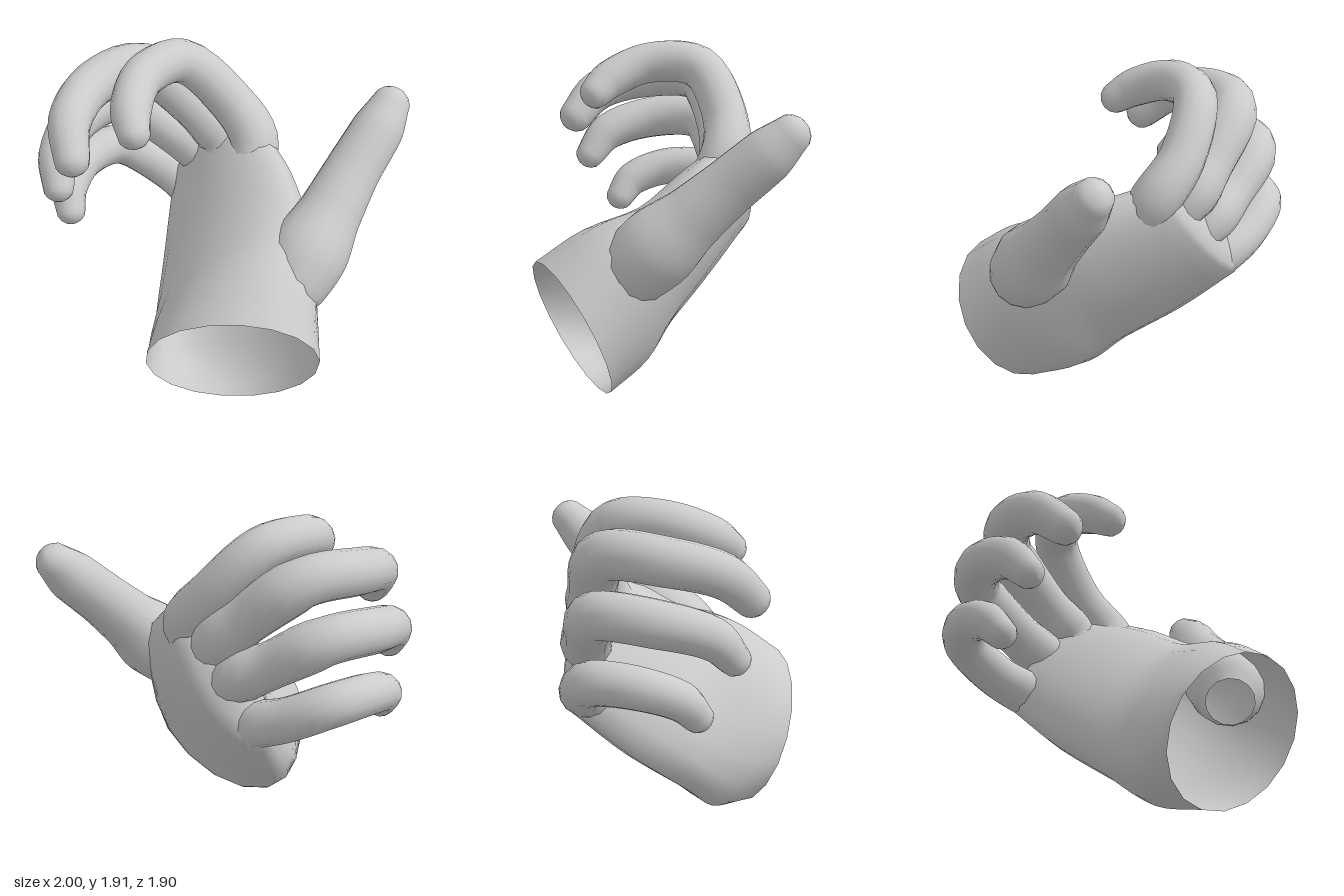
import * as THREE from 'three';

const V = (p) => new THREE.Vector3(...p);
const spline = (pts) => new THREE.CatmullRomCurve3(pts.map(V));
const material = new THREE.MeshStandardMaterial({ color: 0xcccccc, side: THREE.DoubleSide });

// Skin a list of rings { c, u, v }: each ring is c + u cos(a) + v sin(a)
function loft(name, rings, sides) {
  const pos = [], idx = [];
  rings.forEach(({ c, u, v }, i) => {
    for (let j = 0; j < sides; j++) {
      const a = (j / sides) * Math.PI * 2;
      const p = c.clone().addScaledVector(u, Math.cos(a)).addScaledVector(v, Math.sin(a));
      pos.push(p.x, p.y, p.z);
      if (i === rings.length - 1) continue;
      const k = (j + 1) % sides, r = i * sides, n = r + sides;
      idx.push(r + j, r + k, n + j, r + k, n + k, n + j);
    }
  });
  const geo = new THREE.BufferGeometry();
  geo.setAttribute('position', new THREE.Float32BufferAttribute(pos, 3));
  geo.setIndex(idx);
  geo.computeVertexNormals();
  const mesh = new THREE.Mesh(geo, material);
  mesh.name = name;
  return mesh;
}

// Tapered digit along a path of [x, y, z, radius], with a rounded tip
function digit(name, path) {
  const curve = spline(path.map((p) => p.slice(0, 3)));
  const radius = spline(path.map((p) => [p[3], 0, 0]));
  const steps = 30, rings = [];
  const n = new THREE.Vector3(0, 1, 0.3);
  let t, c, r;
  const addRing = (centre, rad) => {
    const b = t.clone().cross(n);
    rings.push({ c: centre, u: n.clone().multiplyScalar(rad), v: b.multiplyScalar(rad) });
  };
  for (let i = 0; i <= steps; i++) {
    c = curve.getPoint(i / steps);
    t = curve.getTangent(i / steps);
    r = radius.getPoint(i / steps).x;
    n.addScaledVector(t, -n.dot(t)).normalize();
    addRing(c, r);
  }
  for (const a of [0.4, 0.8, 1.2, 1.5708]) {
    addRing(c.clone().addScaledVector(t, r * Math.sin(a) * 0.9), r * Math.cos(a));
  }
  return loft(name, rings, 14);
}

// Palm: open at the wrist, narrowing to a flat row of knuckles
function palm() {
  const centre = spline([
    [-0.21, 0.41, 0.64], [-0.12, 0.53, 0.4], [-0.04, 0.66, 0.16],
    [0.03, 0.85, -0.12], [0.085, 1.05, -0.43],
  ]);
  const across = spline([
    [0.13, 0.4, 0.26], [0.21, 0.49, 0.25], [0.29, 0.47, 0.21],
    [0.25, 0.42, 0.24], [0.16, 0.32, 0.24],
  ]);
  const thick = spline([
    [0.41, -0.12, 0.15], [0.37, -0.09, 0.08], [0.28, -0.08, 0.03],
    [0.21, -0.08, 0], [0.16, -0.06, 0],
  ]);
  const rings = [];
  for (let i = 0; i <= 16; i++) {
    const t = i / 16;
    rings.push({ c: centre.getPoint(t), u: across.getPoint(t), v: thick.getPoint(t) });
  }
  // rounded end under the finger roots
  const last = rings[16], axis = V([-0.1, 0.5, -0.8]);
  for (const a of [0.4, 0.8, 1.2, 1.5708]) {
    rings.push({
      c: last.c.clone().addScaledVector(axis, 0.09 * Math.sin(a)),
      u: last.u.clone().multiplyScalar(Math.cos(a)),
      v: last.v.clone().multiplyScalar(Math.cos(a)),
    });
  }
  return loft('palm', rings, 18);
}

// Each path runs from inside the palm to the tip
const digits = {
  thumb: [
    [0.07, 0.71, 0.57, 0.14], [0.17, 0.81, 0.55, 0.205], [0.29, 0.94, 0.49, 0.225],
    [0.45, 1.11, 0.4, 0.18], [0.62, 1.29, 0.3, 0.157], [0.8, 1.47, 0.21, 0.147],
    [0.9, 1.58, 0.15, 0.11],
  ],
  indexFinger: [
    [0.16, 1.12, -0.08, 0.12], [0.22, 1.3, -0.19, 0.14], [0.125, 1.49, -0.33, 0.13],
    [-0.13, 1.75, -0.41, 0.125], [-0.4, 1.765, -0.28, 0.12], [-0.53, 1.68, -0.08, 0.112],
    [-0.55, 1.61, 0.035, 0.092],
  ],
  middleFinger: [
    [0.06, 1.02, -0.22, 0.12], [0.105, 1.21, -0.35, 0.135], [-0.04, 1.4, -0.5, 0.135],
    [-0.3, 1.63, -0.64, 0.135], [-0.62, 1.63, -0.53, 0.13], [-0.82, 1.55, -0.3, 0.12],
    [-0.86, 1.41, -0.13, 0.1],
  ],
  ringFinger: [
    [0.02, 0.88, -0.32, 0.12], [0.03, 1.04, -0.47, 0.13], [-0.14, 1.18, -0.63, 0.13],
    [-0.39, 1.35, -0.78, 0.13], [-0.68, 1.345, -0.67, 0.127], [-0.87, 1.26, -0.44, 0.115],
    [-0.91, 1.13, -0.31, 0.088],
  ],
  littleFinger: [
    [-0.03, 0.72, -0.4, 0.11], [-0.065, 0.81, -0.56, 0.13], [-0.2, 0.9, -0.73, 0.122],
    [-0.41, 1.01, -0.84, 0.12], [-0.64, 1.015, -0.75, 0.115], [-0.79, 0.94, -0.58, 0.105],
    [-0.815, 0.84, -0.48, 0.085],
  ],
};

export function createModel() {
  const hand = new THREE.Group();
  hand.name = 'hand';
  hand.add(palm());
  for (const [name, path] of Object.entries(digits)) hand.add(digit(name, path));
  return hand;
}
